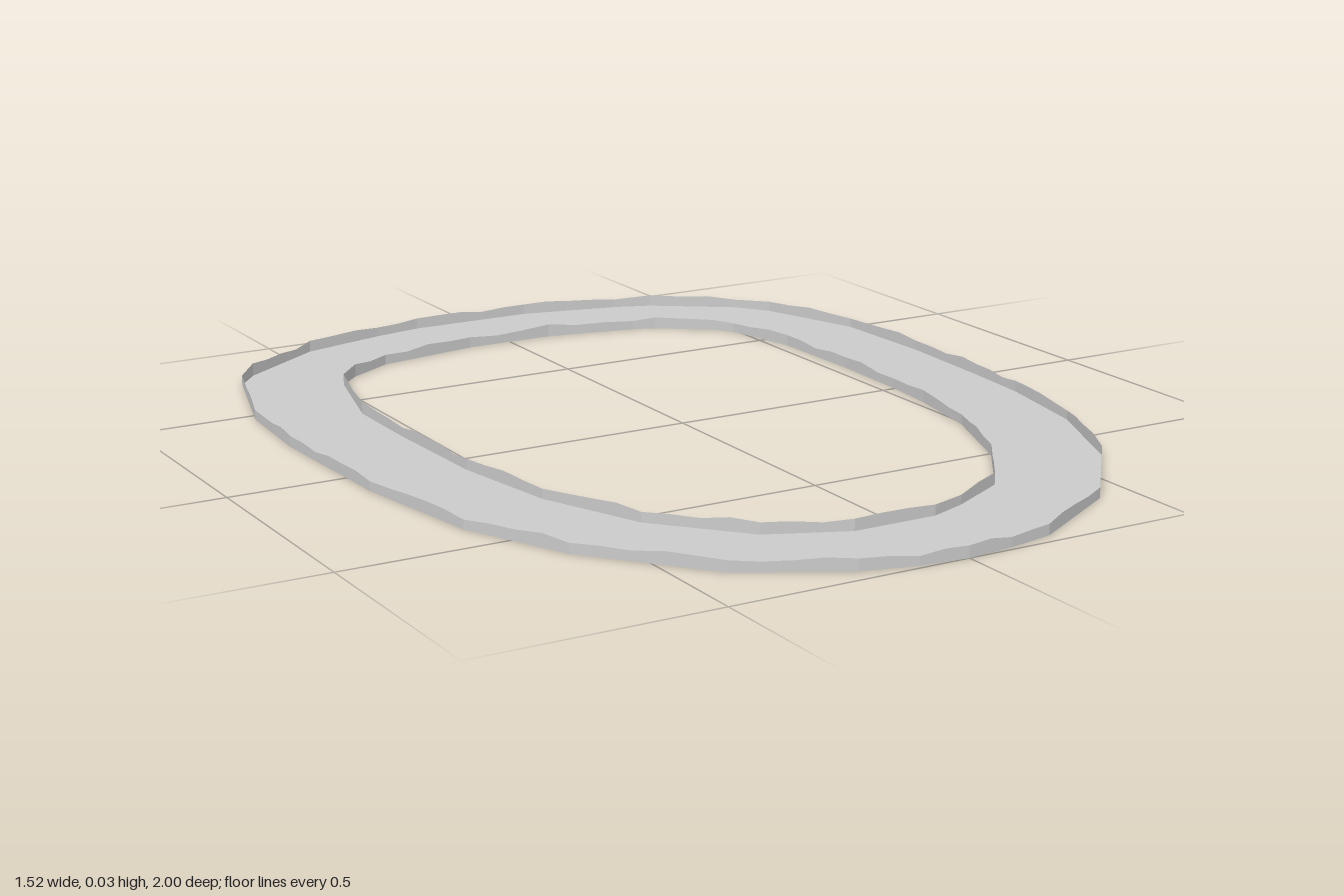
import * as THREE from 'three';

// Outlines as x, z pairs, running clockwise from the back when seen from above
const OUTER = [
  0.15, -1, 0.37, -0.95, 0.45, -0.92, 0.62, -0.8, 0.67, -0.73, 0.75, -0.5, 0.76, -0.25, 0.75, 0, 0.74, 0.15,
  0.7, 0.38, 0.6, 0.62, 0.42, 0.84, 0.2, 0.97, 0.1, 0.99, 0, 1, -0.1, 0.99, -0.21, 0.96, -0.41, 0.85, -0.6, 0.62,
  -0.7, 0.4, -0.75, 0.1, -0.765, -0.25, -0.75, -0.47, -0.67, -0.74, -0.62, -0.8, -0.43, -0.93, -0.24, -0.98, -0.13, -1,
];
const INNER = [
  0.1, -0.78, 0.3, -0.74, 0.35, -0.72, 0.46, -0.64, 0.49, -0.6, 0.53, -0.43, 0.535, -0.2, 0.53, 0, 0.52, 0.12,
  0.49, 0.3, 0.41, 0.51, 0.3, 0.67, 0.17, 0.74, 0.09, 0.77, -0.09, 0.77, -0.25, 0.7, -0.4, 0.53, -0.49, 0.31,
  -0.53, 0.07, -0.54, -0.2, -0.54, -0.4, -0.48, -0.63, -0.43, -0.68, -0.33, -0.74, -0.1, -0.78,
];

function toPoints(flat) {
  const points = [];
  for (let i = 0; i < flat.length; i += 2) points.push(new THREE.Vector2(flat[i], -flat[i + 1]));
  return points;
}

// Thin upright wall along a closed outline, with a slightly ragged top edge
function ragWall(outline, phase) {
  const path = [];
  outline.forEach((a, i) => {
    const b = outline[(i + 1) % outline.length];
    const steps = Math.max(1, Math.round(a.distanceTo(b) / 0.06));
    for (let s = 0; s < steps; s++) path.push(a.clone().lerp(b, s / steps));
  });
  const positions = [], index = [], n = path.length;
  path.forEach((p, i) => {
    const height = 0.023 + 0.003 * Math.sin(i * 1.3 + phase) + 0.002 * Math.sin(i * 2.9 + phase);
    positions.push(p.x, 0, -p.y, p.x, height, -p.y);
    const a = 2 * i, b = 2 * ((i + 1) % n);
    index.push(a, a + 1, b, b, a + 1, b + 1);
  });
  const geometry = new THREE.BufferGeometry();
  geometry.setAttribute('position', new THREE.Float32BufferAttribute(positions, 3));
  geometry.setIndex(index);
  geometry.computeVertexNormals();
  return geometry;
}

export function createModel() {
  const group = new THREE.Group();
  group.name = 'ovalRingTray';
  const material = new THREE.MeshStandardMaterial({ color: 0xcccccc, flatShading: true, side: THREE.DoubleSide });
  const add = (name, geometry) => {
    const mesh = new THREE.Mesh(geometry, material);
    mesh.name = name;
    group.add(mesh);
  };

  const outer = toPoints(OUTER), inner = toPoints(INNER);

  // Flat ring-shaped floor
  const shape = new THREE.Shape(outer);
  shape.holes.push(new THREE.Path(inner));
  add('floor', new THREE.ShapeGeometry(shape).rotateX(-Math.PI / 2));

  // Low walls around the outside and the opening
  add('outerWall', ragWall(outer, 0));
  add('innerWall', ragWall(inner, 1.7));
  return group;
}
